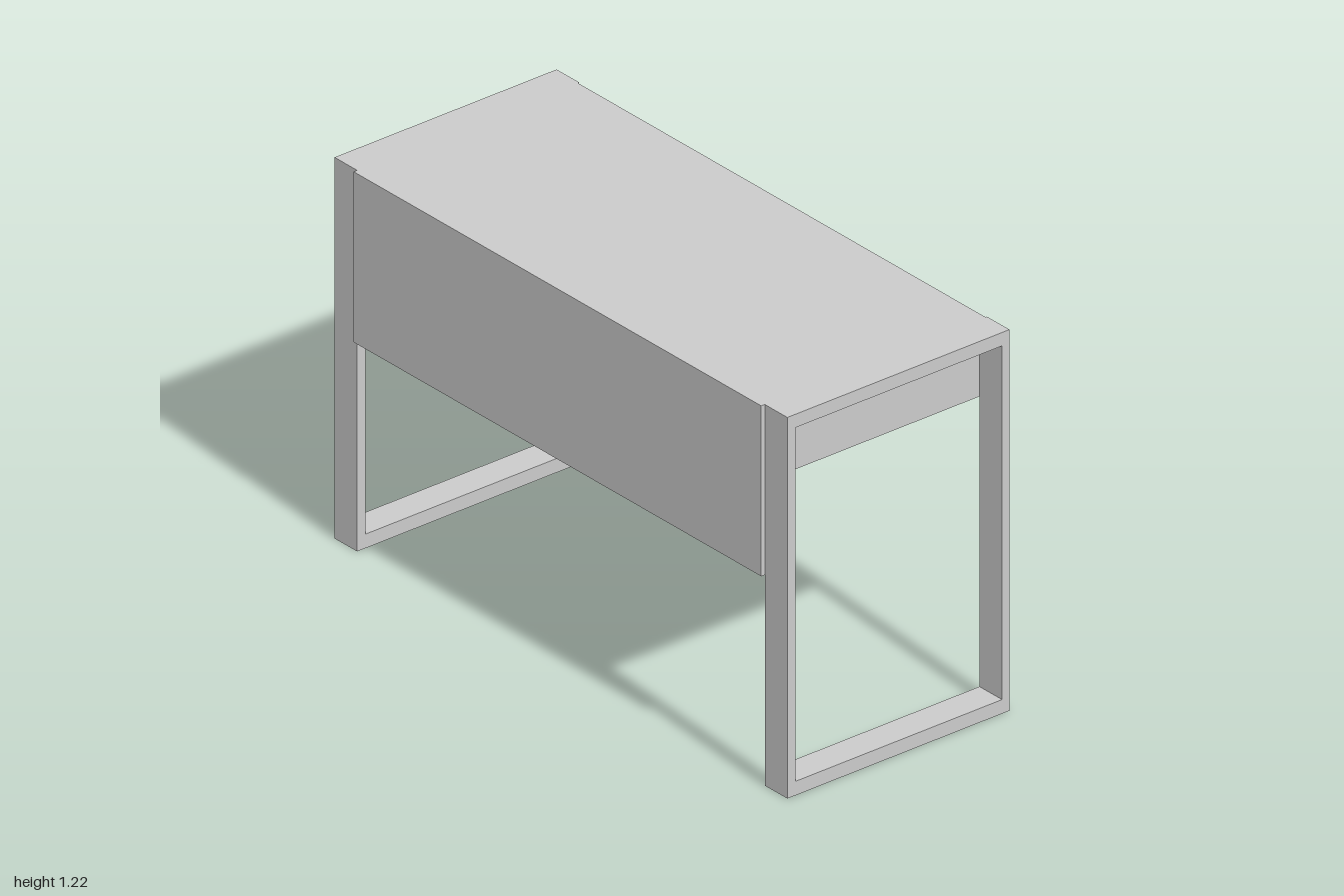
import * as THREE from 'three';

const material = new THREE.MeshStandardMaterial({ color: 0xcccccc, flatShading: true });

// Box given by its minimum and maximum corners
function box(name, [x0, y0, z0], [x1, y1, z1]) {
  const mesh = new THREE.Mesh(new THREE.BoxGeometry(x1 - x0, y1 - y0, z1 - z0), material);
  mesh.name = name;
  mesh.position.set((x0 + x1) / 2, (y0 + y1) / 2, (z0 + z1) / 2);
  return mesh;
}

function rectangle(PathType, x0, y0, x1, y1) {
  return new PathType([[x0, y0], [x1, y0], [x1, y1], [x0, y1]].map(([x, y]) => new THREE.Vector2(x, y)));
}

// Closed rectangular leg loop, starting at depth z
function legFrame(name, z) {
  const shape = rectangle(THREE.Shape, -0.402, 0, 0.412, 1.223);
  shape.holes.push(rectangle(THREE.Path, -0.372, 0.045, 0.385, 1.18));
  const mesh = new THREE.Mesh(new THREE.ExtrudeGeometry(shape, { depth: 0.1, bevelEnabled: false }), material);
  mesh.name = name;
  mesh.position.z = z;
  return mesh;
}

export function createModel() {
  const desk = new THREE.Group();
  desk.name = 'desk';
  desk.add(
    legFrame('frontLegFrame', 0.9),
    legFrame('backLegFrame', -1),
    // Solid drawer body with the work surface on top
    box('deskBody', [-0.402, 0.976, -0.9], [0.407, 1.223, 0.9]),
    // Thin privacy panel hanging outside the right edge
    box('privacyPanel', [-0.415, 0.676, -0.9], [-0.402, 1.223, 0.9]),
  );
  return desk;
}
